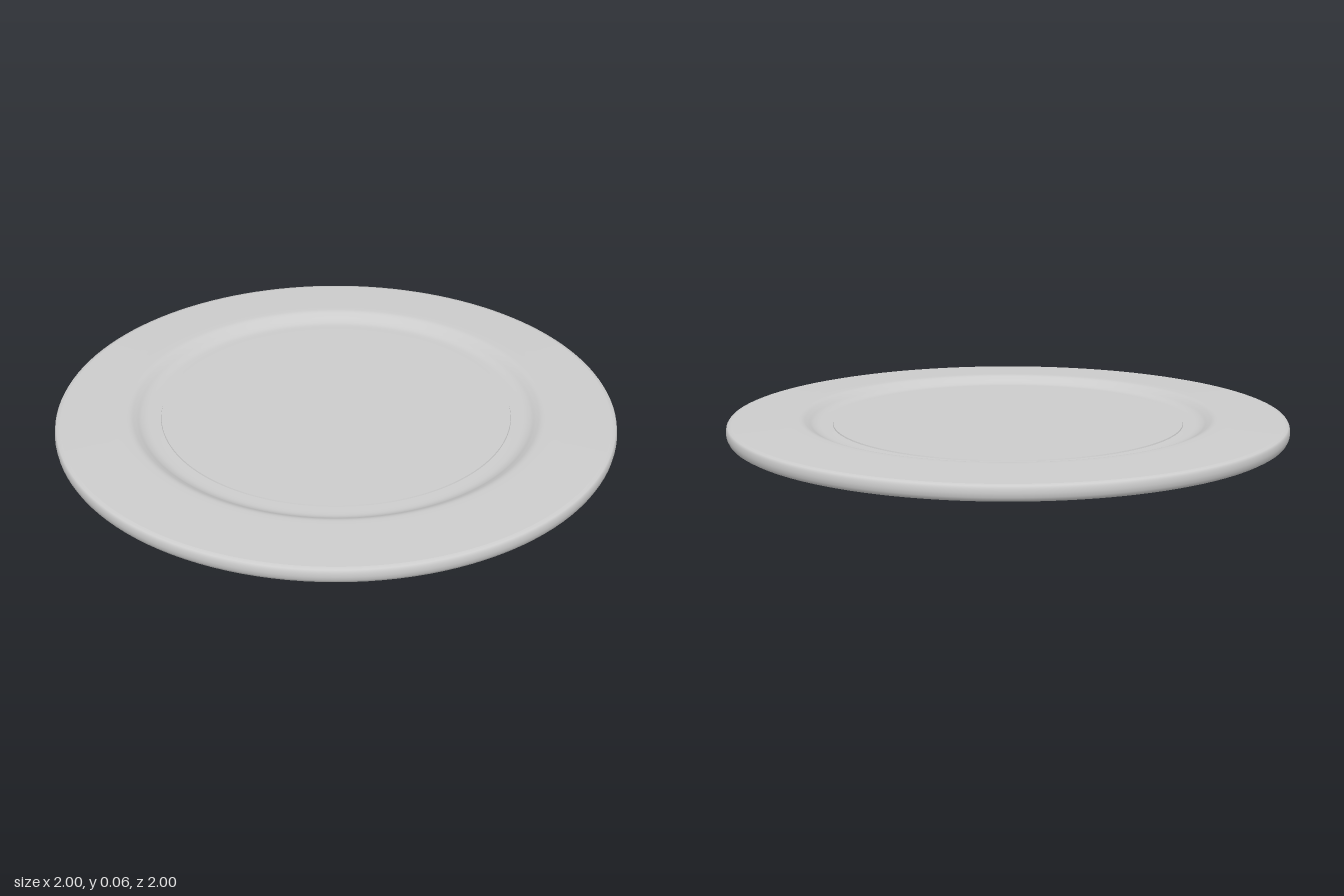
import * as THREE from 'three';

const SEGMENTS = 128;

// Lathe one smooth band from [radius, height] pairs; bands meet at crisp edges
function band(name, points, material) {
  const profile = points.map(([r, y]) => new THREE.Vector2(r, y));
  const mesh = new THREE.Mesh(new THREE.LatheGeometry(profile, SEGMENTS), material);
  mesh.name = name;
  return mesh;
}

export function createModel() {
  const group = new THREE.Group();
  group.name = 'plate';
  const material = new THREE.MeshStandardMaterial({ color: 0xcccccc });

  // Flat underside
  group.add(band('underside', [[0, 0], [0.985, 0]], material));

  // Rounded outer edge
  group.add(band('outerEdge', [
    [0.985, 0], [0.993, 0.005], [0.998, 0.015], [1, 0.028],
    [0.998, 0.042], [0.993, 0.05], [0.98, 0.053],
  ], material));

  // Broad rim, rising gently inwards, then rolling down into the well
  const rim = new THREE.SplineCurve([
    [0.98, 0.053], [0.9, 0.056], [0.82, 0.059], [0.76, 0.061], [0.735, 0.059],
    [0.715, 0.05], [0.695, 0.039], [0.67, 0.033], [0.625, 0.034],
  ].map(([r, y]) => new THREE.Vector2(r, y)));
  group.add(band('rimAndWell', rim.getPoints(40).map((p) => [p.x, p.y]), material));

  // Flat centre with a slight step at its edge
  group.add(band('centreEdge', [[0.627, 0.033], [0.625, 0.038]], material));
  group.add(band('centre', [[0.625, 0.038], [0, 0.038]], material));

  return group;
}
